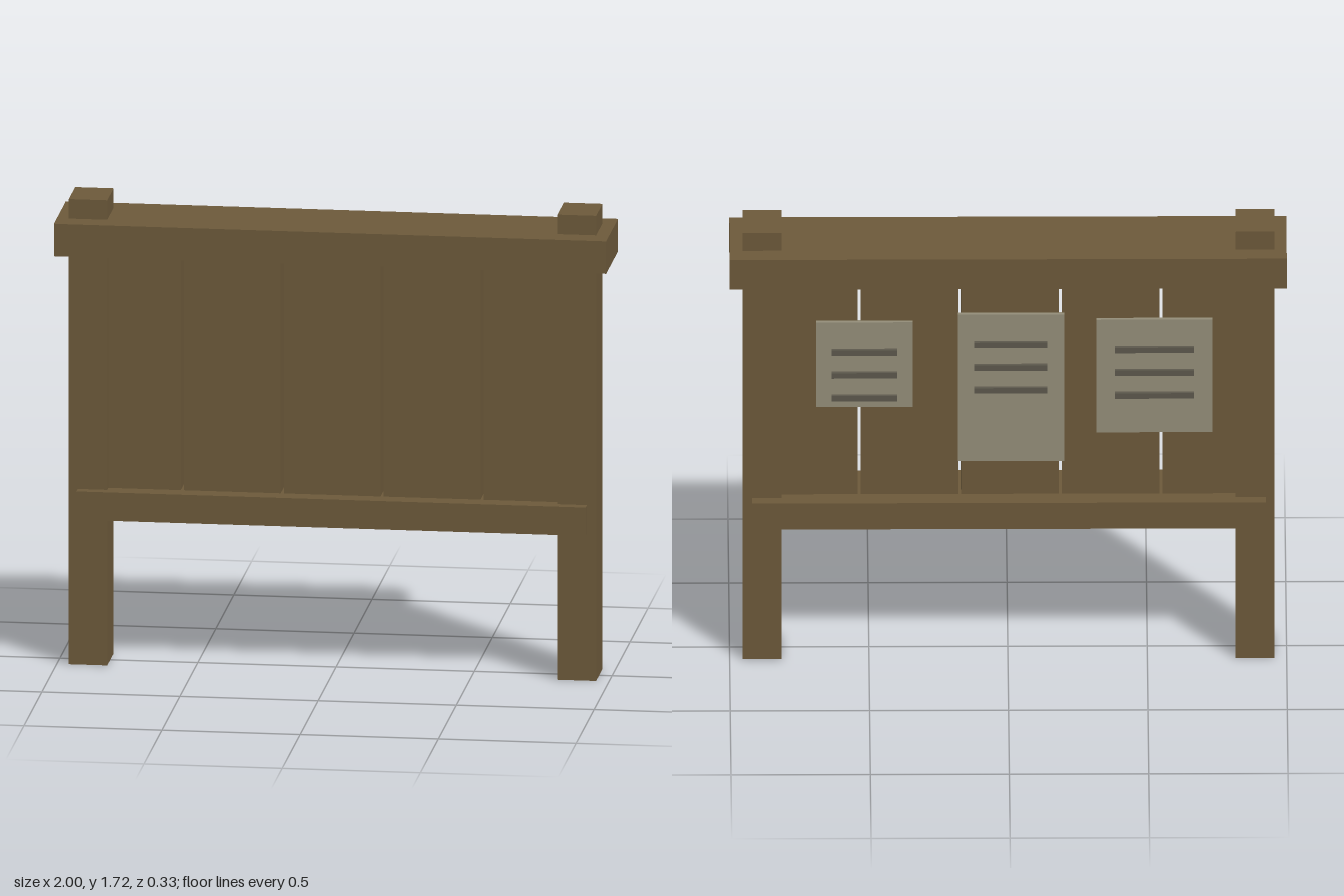
import * as THREE from 'three';

const material = (name, color) => {
  const m = new THREE.MeshStandardMaterial({ color });
  m.name = name;
  return m;
};

export function createModel() {
  const board = new THREE.Group();
  board.name = 'noticeBoard';
  const wood = material('brown wood', 0x6c593a);
  const paper = material('weathered paper', 0x938d78);
  const ink = material('dark ink', 0x5c584c);

  // Box given by its limits on each axis
  const box = (name, mat, [x0, x1], [y0, y1], [z0, z1], parent = board) => {
    const mesh = new THREE.Mesh(new THREE.BoxGeometry(x1 - x0, y1 - y0, z1 - z0), mat);
    mesh.position.set((x0 + x1) / 2, (y0 + y1) / 2, (z0 + z1) / 2);
    mesh.name = name;
    parent.add(mesh);
  };

  // Frame: two posts, wide cap beam and lower rail
  box('rightPost', wood, [-0.957, -0.817], [0, 1.722], [-0.095, 0.083]);
  box('leftPost', wood, [0.813, 0.953], [0, 1.722], [-0.095, 0.083]);
  box('capBeam', wood, [-1, 1], [1.53, 1.65], [-0.167, 0.167]);
  box('lowerRail', wood, [-0.925, 0.92], [0.545, 0.65], [-0.137, 0.12]);

  // Five upright planks with narrow gaps and uneven tops
  [1.54, 1.52, 1.503, 1.54, 1.52].forEach((top, i) => {
    const x = -0.73 + i * 0.3615;
    box('plank' + (i + 1), wood, [x - 0.175, x + 0.175], [0.6, top], [-0.065, 0.053]);
  });

  // Notices on the back, each with three raised lines of writing
  const notices = [
    { x: 0.517, width: 0.346, bottom: 1.01, top: 1.352 },
    { x: -0.01, width: 0.385, bottom: 0.79, top: 1.382 },
    { x: -0.525, width: 0.416, bottom: 0.905, top: 1.36 },
  ];
  notices.forEach(({ x, width, bottom, top }, i) => {
    const notice = new THREE.Group();
    notice.name = 'notice' + (i + 1);
    board.add(notice);
    box('sheet', paper, [x - width / 2, x + width / 2], [bottom, top], [-0.08, -0.063], notice);
    for (let row = 0; row < 3; row++) {
      const y = top - 0.118 - row * 0.092;
      box('writingLine', ink, [x - width * 0.34, x + width * 0.34],
        [y - 0.011, y + 0.011], [-0.093, -0.078], notice);
    }
  });

  return board;
}
